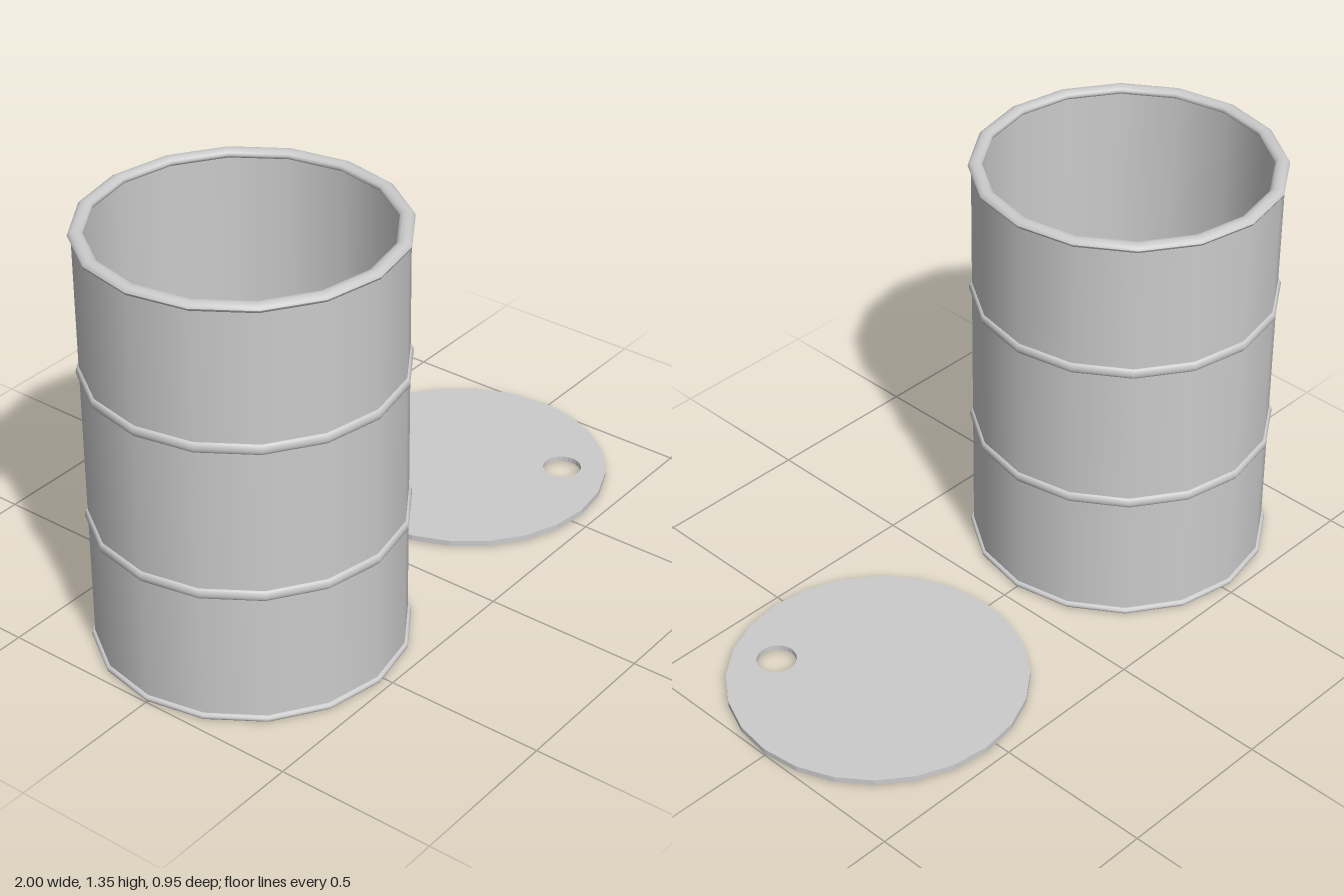
import * as THREE from 'three';

const SIDES = 16;
const material = new THREE.MeshStandardMaterial({ color: 0xcccccc });

// Revolved part; profile runs counter-clockwise so faces point outward
function revolve(name, profile) {
  const points = profile.map(([r, y]) => new THREE.Vector2(r, y));
  const mesh = new THREE.Mesh(new THREE.LatheGeometry(points, SIDES), material);
  mesh.name = name;
  return mesh;
}

// Elliptical cross-section between two angles
function arc(r, y, rx, ry, from, to, steps) {
  return Array.from({ length: steps + 1 }, (_, i) => {
    const a = from + ((to - from) * i) / steps;
    return [r + rx * Math.cos(a), y + ry * Math.sin(a)];
  });
}

export function createModel() {
  const model = new THREE.Group();
  const R = 0.464, INNER = 0.452, FLOOR = 0.02, TOP = 1.332;

  // Open drum: separate surfaces keep the corners sharp
  const drum = new THREE.Group();
  drum.name = 'drum';
  drum.position.x = -0.526;
  drum.add(
    revolve('base', [[0, 0], [0.464, 0]]),
    revolve('outerWall', [[R, 0.01], [R, TOP]]),
    revolve('innerWall', [[INNER, TOP], [INNER, FLOOR]]),
    revolve('floor', [[INNER, FLOOR], [0, FLOOR]]),
    revolve('topRim', arc(0.4515, TOP, 0.0225, 0.014, 0, Math.PI * 2, 12)),
    revolve('bottomRim', arc(R, 0.01, 0.01, 0.01, -Math.PI / 2, Math.PI / 2, 6)),
  );

  // Raised hoops around the wall
  for (const y of [0.432, 0.906]) {
    drum.add(revolve('hoop', arc(R, y, 0.009, 0.016, -Math.PI / 2, Math.PI / 2, 6)));
  }
  model.add(drum);

  // Loose lid with a round bung hole, lying beside the drum
  const outline = Array.from({ length: 24 }, (_, i) => {
    const a = (i / 24) * Math.PI * 2;
    return new THREE.Vector2(0.456 * Math.cos(a), 0.456 * Math.sin(a));
  });
  const shape = new THREE.Shape(outline);
  shape.holes.push(new THREE.Path().absarc(0.167, -0.268, 0.061, 0, Math.PI * 2, true));
  const lidGeometry = new THREE.ExtrudeGeometry(shape, { depth: 0.018, bevelEnabled: false, curveSegments: 12 });
  lidGeometry.rotateX(-Math.PI / 2);
  const lid = new THREE.Mesh(lidGeometry, material);
  lid.name = 'lid';
  lid.position.set(0.544, 0.005, 0);
  model.add(lid);

  return model;
}
